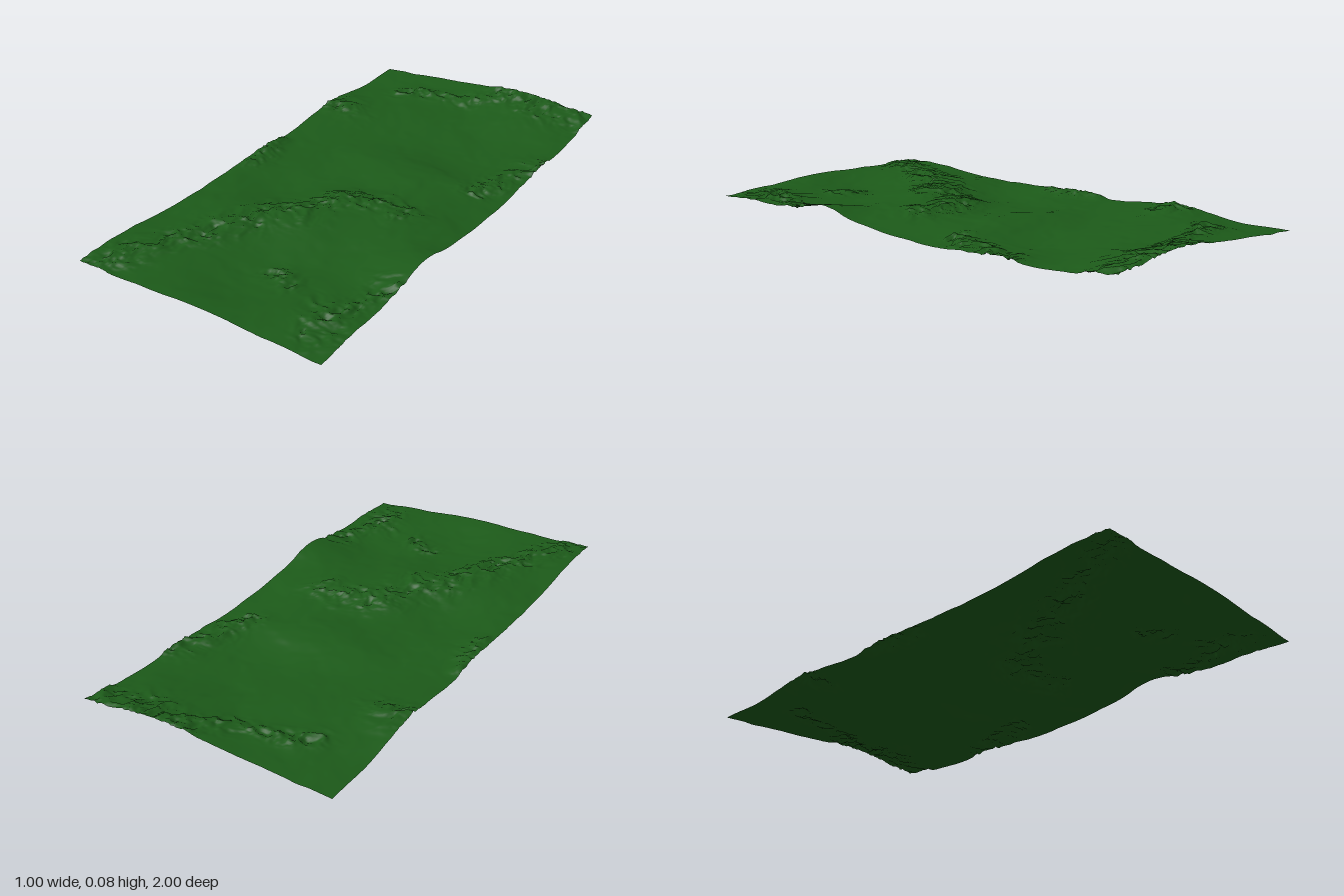
import * as THREE from 'three';

// Broad heights in hundredths: rows run back to front, columns left to right in x
const RELIEF = [
  [3.0, 4.8, 6.8, 7.4, 5.0],
  [3.0, 4.8, 4.0, 4.8, 3.0],
  [5.2, 4.5, 3.0, 1.4, 2.2],
  [5.0, 3.0, 2.0, 1.0, 2.4],
  [3.3, 3.0, 4.5, 3.8, 1.6],
  [4.2, 2.5, 3.5, 4.4, 2.2],
  [4.0, 2.2, 6.0, 5.8, 4.2],
  [4.0, 6.0, 6.2, 4.2, 7.8],
  [4.8, 6.2, 3.5, 3.0, 3.8],
  [6.6, 6.0, 3.2, 4.5, 4.0],
  [5.8, 5.6, 6.2, 4.8, 3.0],
];

// Rocky lines: x, z points followed by the spread of the broken ground
const RIDGES = [
  { pts: [[-0.42, 0.98], [-0.35, 0.78], [-0.25, 0.55], [-0.18, 0.44], [-0.02, 0.25], [0.05, 0.13], [0.22, 0.1]], spread: 0.08 },
  { pts: [[0.08, -0.97], [0.25, -0.92], [0.48, -0.95]], spread: 0.08 },
  { pts: [[-0.3, -0.76], [-0.15, -0.82], [0.1, -0.9]], spread: 0.05 },
  { pts: [[0.42, 0.9], [0.38, 0.75], [0.47, 0.55]], spread: 0.07 },
  { pts: [[0.36, -0.22], [0.45, -0.4], [0.48, -0.55]], spread: 0.06 },
  { pts: [[-0.5, -0.55], [-0.38, -0.48]], spread: 0.06 },
  { pts: [[-0.5, -0.15], [-0.46, 0.08]], spread: 0.04 },
  { pts: [[0.06, 0.66], [0.18, 0.72]], spread: 0.05 },
];

const clamp = THREE.MathUtils.clamp;

function cubic(a, b, c, d, t) {
  return b + 0.5 * t * (c - a + t * (2 * a - 5 * b + 4 * c - d + t * (3 * (b - c) + d - a)));
}

function relief(x, z) {
  const u = (x + 0.5) * 4, v = (z + 1) * 5;
  const i = clamp(Math.floor(u), 0, 3), j = clamp(Math.floor(v), 0, 9);
  const at = (r, c) => RELIEF[clamp(r, 0, 10)][clamp(c, 0, 4)];
  const row = (r) => cubic(at(r, i - 1), at(r, i), at(r, i + 1), at(r, i + 2), u - i);
  return 0.01 * cubic(row(j - 1), row(j), row(j + 1), row(j + 2), v - j);
}

// Repeatable lattice noise in -1..1
function hash(i, j) {
  let h = Math.imul(i, 374761393) + Math.imul(j, 668265263);
  h = Math.imul(h ^ (h >>> 13), 1274126177);
  return ((h ^ (h >>> 16)) >>> 0) / 2147483648 - 1;
}

function noise(x, z) {
  const i = Math.floor(x), j = Math.floor(z);
  const s = (t) => t * t * (3 - 2 * t);
  const u = s(x - i), v = s(z - j);
  const mix = THREE.MathUtils.lerp;
  return mix(mix(hash(i, j), hash(i + 1, j), u), mix(hash(i, j + 1), hash(i + 1, j + 1), u), v);
}

function segmentDistance(x, z, [ax, az], [bx, bz]) {
  const dx = bx - ax, dz = bz - az;
  const t = clamp(((x - ax) * dx + (z - az) * dz) / (dx * dx + dz * dz), 0, 1);
  return Math.hypot(x - ax - t * dx, z - az - t * dz);
}

// 0 on open ground, 1 on the rocky lines
function roughness(x, z) {
  let rough = 0;
  for (const { pts, spread } of RIDGES) {
    for (let k = 1; k < pts.length; k++) {
      const d = segmentDistance(x, z, pts[k - 1], pts[k]) / spread;
      rough = Math.max(rough, Math.exp(-d * d));
    }
  }
  return rough;
}

function height(x, z) {
  const wx = x + 0.035 * noise(x * 8 + 3, z * 8) + 0.012 * noise(x * 26, z * 26);
  const wz = z + 0.035 * noise(x * 8, z * 8 + 9) + 0.012 * noise(x * 26 + 5, z * 26);
  const rough = roughness(wx, wz);
  let y = relief(x, z) + 0.009 * rough;
  // rolling detail everywhere, sharp creases along the rocky lines
  y += 0.0025 * noise(wx * 9, wz * 9) + 0.0015 * noise(wx * 20, wz * 20);
  let amp = 0.011, freq = 18;
  for (let o = 0; o < 3; o++) {
    y += rough * amp * (0.5 - Math.abs(noise(wx * freq + o * 17, wz * freq)) * 1.5);
    amp *= 0.55;
    freq *= 2;
  }
  return y;
}

export function createModel() {
  const group = new THREE.Group();
  group.name = 'landscape';

  // Thin sheet of ground lifted into hills
  const geometry = new THREE.PlaneGeometry(1, 2, 180, 360).rotateX(-Math.PI / 2);
  const pos = geometry.attributes.position;
  for (let i = 0; i < pos.count; i++) pos.setY(i, height(pos.getX(i), pos.getZ(i)));

  // Rest the lowest point on the base
  geometry.computeBoundingBox();
  geometry.translate(0, -geometry.boundingBox.min.y, 0);
  geometry.computeVertexNormals();

  const grass = new THREE.MeshStandardMaterial({ color: 0x1c5a19, side: THREE.DoubleSide });
  const terrain = new THREE.Mesh(geometry, grass);
  terrain.name = 'terrain';
  group.add(terrain);
  return group;
}
